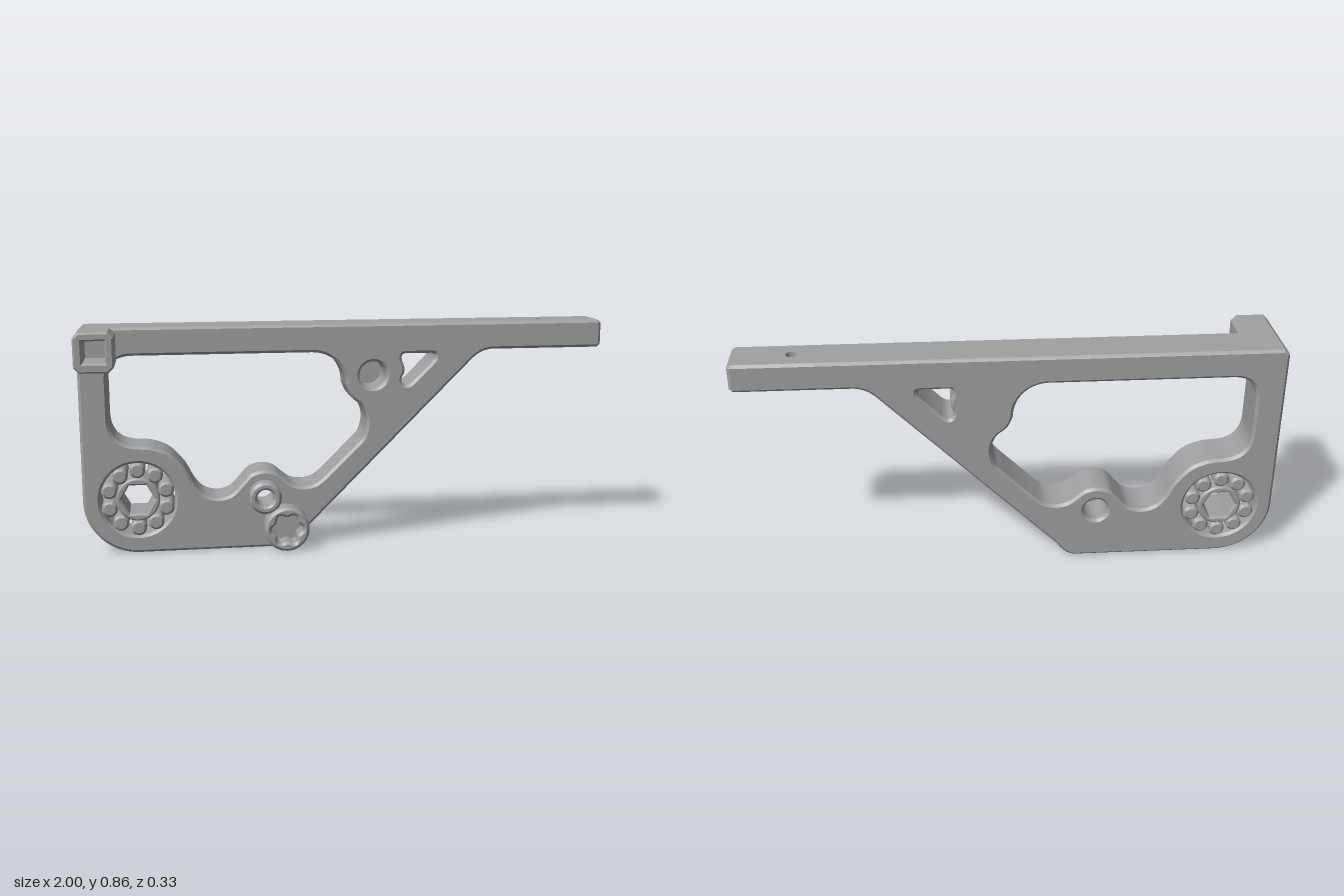
import * as THREE from 'three';
import { toCreasedNormals } from 'three/addons/utils/BufferGeometryUtils.js';

const BACK = -0.165, FRONT = 0.005, TOP = 0.856, BAR = 0.751;
const V = (list) => list.map(([x, y]) => new THREE.Vector2(x, y));

function circlePath(x, y, r, Kind = THREE.Path) {
  return new Kind().absarc(x, y, r, 0, Math.PI * 2, false);
}

// Rectangle with cut corners
function cutRect(x0, x1, y0, y1, c) {
  return new THREE.Shape(V([[x0 + c, y0], [x1 - c, y0], [x1, y0 + c], [x1, y1 - c],
    [x1 - c, y1], [x0 + c, y1], [x0, y1 - c], [x0, y0 + c]]));
}

// Prism between two depths with chamfered rims that stay inside the outline
function prism(shape, z0, z1, bevel) {
  const g = new THREE.ExtrudeGeometry(shape, {
    depth: z1 - z0 - 2 * bevel, bevelEnabled: bevel > 0, bevelThickness: bevel,
    bevelSize: bevel, bevelOffset: -bevel, bevelSegments: 1, curveSegments: 20,
  });
  g.translate(0, 0, z0 + bevel);
  return toCreasedNormals(g, 0.5);
}

// Turned part along z, profile given as [radius, z]
function turned(profile, segments = 40) {
  const g = new THREE.LatheGeometry(V(profile), segments);
  g.rotateX(Math.PI / 2);
  return toCreasedNormals(g, 0.5);
}

function windowPath() {
  const p = new THREE.Path();
  p.moveTo(-0.895, 0.66);
  p.quadraticCurveTo(-0.895, BAR, -0.80, BAR);
  p.lineTo(-0.135, BAR);
  p.bezierCurveTo(-0.06, BAR, -0.003, 0.695, -0.003, 0.62);
  p.splineThru(V([[0.018, 0.575], [0.06, 0.537], [0.077, 0.485], [0.066, 0.425], [0.035, 0.388]]));
  p.lineTo(-0.09, 0.265);
  p.splineThru(V([[-0.125, 0.241], [-0.168, 0.233], [-0.21, 0.241], [-0.243, 0.265],
    [-0.278, 0.292], [-0.324, 0.301], [-0.37, 0.288], [-0.404, 0.254],
    [-0.445, 0.213], [-0.495, 0.2], [-0.545, 0.213], [-0.58, 0.249],
    [-0.605, 0.295], [-0.628, 0.33], [-0.675, 0.378], [-0.735, 0.404], [-0.79, 0.41]]));
  p.quadraticCurveTo(-0.895, 0.415, -0.895, 0.52);
  p.closePath();
  return p;
}

function trianglePath() {
  const p = new THREE.Path();
  p.moveTo(0.225, 0.74);
  p.lineTo(0.325, 0.74);
  p.quadraticCurveTo(0.355, 0.74, 0.335, 0.71);
  p.lineTo(0.255, 0.63);
  p.quadraticCurveTo(0.225, 0.605, 0.213, 0.63);
  p.quadraticCurveTo(0.207, 0.645, 0.218, 0.66);
  p.quadraticCurveTo(0.228, 0.68, 0.213, 0.71);
  p.quadraticCurveTo(0.205, 0.74, 0.225, 0.74);
  return p;
}

export function createModel() {
  const group = new THREE.Group();
  const grey = new THREE.MeshStandardMaterial({ color: 0xa0a0a0 });
  grey.name = 'grey';
  const add = (name, geometry, x = 0, y = 0, z = 0) => {
    const m = new THREE.Mesh(geometry, grey);
    m.name = name;
    m.position.set(x, y, z);
    group.add(m);
    return m;
  };

  // Main plate: top bar, left column, rounded foot and diagonal brace
  const plate = new THREE.Shape();
  plate.moveTo(-0.98, TOP);
  plate.lineTo(-1, TOP - 0.02);
  plate.lineTo(-1, 0.205);
  plate.absarc(-0.795, 0.205, 0.205, Math.PI, Math.PI * 1.5, false);
  plate.lineTo(-0.25, 0);
  plate.quadraticCurveTo(-0.21, 0, -0.175, 0.053);
  plate.lineTo(0.485, 0.713);
  plate.quadraticCurveTo(0.523, BAR, 0.57, BAR);
  plate.lineTo(0.72, BAR);
  plate.lineTo(0.72, TOP);
  plate.closePath();
  plate.holes.push(windowPath(), trianglePath(), circlePath(0.1, 0.66, 0.052),
    circlePath(-0.32, 0.205, 0.046), circlePath(-0.797, 0.207, 0.14));
  add('bracketPlate', prism(plate, BACK, FRONT, 0.01));

  // Closed back of the round pocket
  add('pocketBack', turned([[0, BACK], [0.062, BACK], [0.062, -0.13], [0, -0.13]]), 0.1, 0.66);

  // End of the top bar, extruded upward, with its small vertical hole
  const end = cutRect(0.68, 1, -FRONT, -BACK, 0.012);
  end.holes.push(circlePath(0.78, 0.08, 0.03));
  const endGeometry = prism(end, BAR, TOP, 0.01);
  endGeometry.rotateX(-Math.PI / 2);
  add('barEnd', endGeometry);
  const sleeve = add('barHoleSleeve', turned([[0.021, BAR], [0.04, BAR], [0.04, TOP],
    [0.021, TOP], [0.021, BAR]], 24), 0.78, 0, -0.08);
  sleeve.rotation.x = -Math.PI / 2;

  // Square socket arm pointing forward
  const arm = cutRect(-1, -0.858, 0.712, TOP, 0.02);
  arm.holes.push(new THREE.Path(V([[-0.968, 0.747], [-0.888, 0.747], [-0.888, 0.826], [-0.968, 0.826]])));
  add('socketArm', prism(arm, -0.015, 0.165, 0.006));

  // Roller bearing: hexagonal hub and ten rollers
  const bx = -0.797, by = 0.207;
  const hub = circlePath(0, 0, 0.082, THREE.Shape);
  const hex = [];
  for (let i = 0; i < 6; i++) hex.push([0.064 * Math.cos(i * Math.PI / 3), 0.064 * Math.sin(i * Math.PI / 3)]);
  hub.holes.push(new THREE.Path(V(hex)));
  add('bearingHub', prism(hub, BACK, FRONT, 0.006), bx, by);
  const roller = turned([[0, BACK], [0.021, BACK], [0.03, BACK + 0.009],
    [0.03, FRONT - 0.009], [0.021, FRONT], [0, FRONT]], 20);
  for (let i = 0; i < 10; i++) {
    const a = Math.PI / 2 + i * Math.PI / 5;
    add('bearingRoller', roller, bx + 0.111 * Math.cos(a), by + 0.111 * Math.sin(a));
  }

  // Bushing around the through hole
  add('bushing', turned([[0.033, -0.03], [0.062, -0.03], [0.062, 0.047], [0.052, 0.057],
    [0.041, 0.057], [0.033, 0.049], [0.033, -0.03]]), -0.32, 0.205);

  // Screw head with six-pointed recess
  const head = circlePath(0, 0, 0.085, THREE.Shape);
  const star = [];
  for (let i = 0; i < 48; i++) {
    const a = i * Math.PI / 24, r = 0.054 + 0.007 * Math.cos(6 * a);
    star.push([r * Math.cos(a), r * Math.sin(a)]);
  }
  head.holes.push(new THREE.Path(V(star)));
  add('screwHead', prism(head, -0.006, 0.08, 0.01), -0.241, 0.086);

  return group;
}
